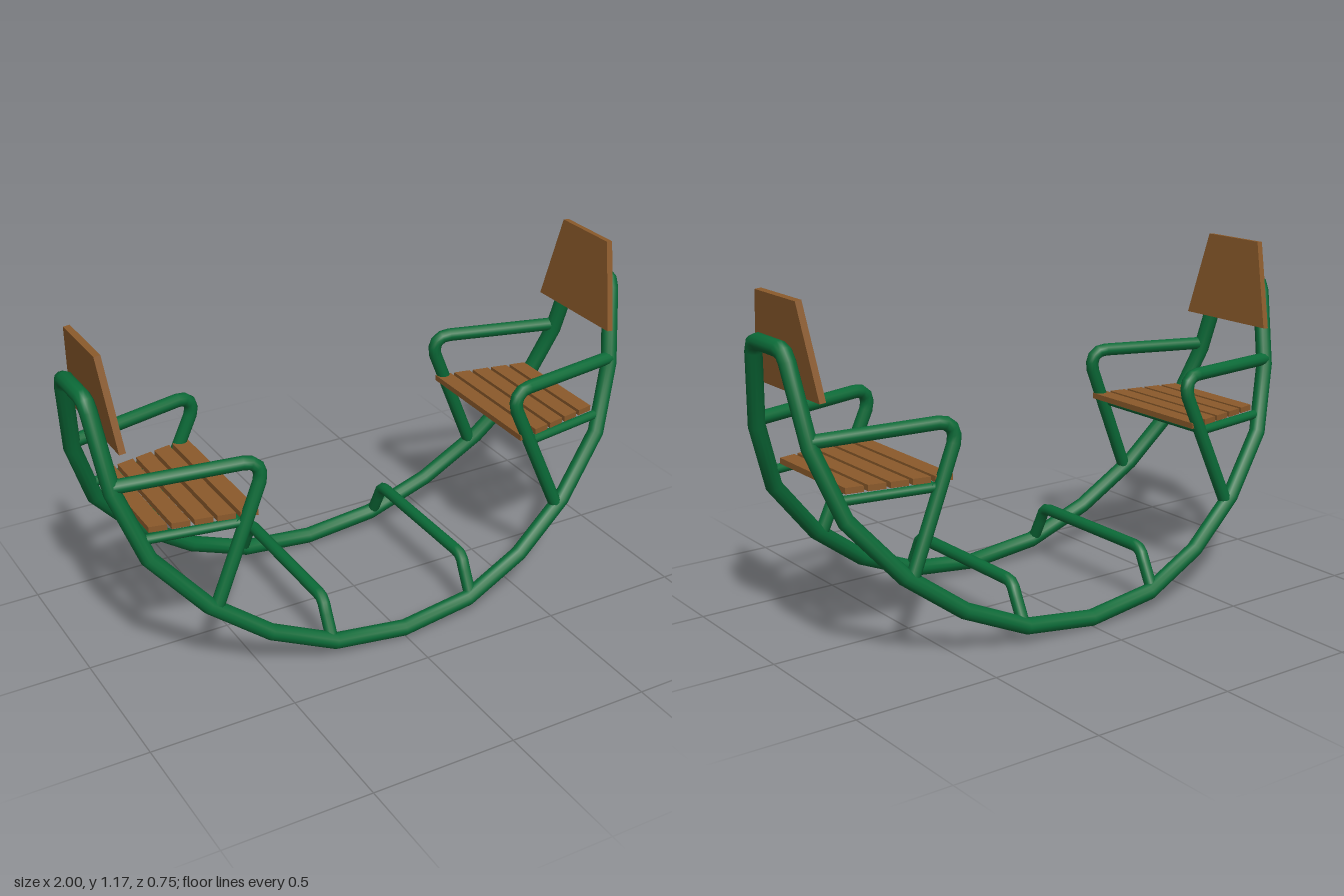
import * as THREE from 'three';

const green = new THREE.MeshStandardMaterial({ color: 0x0b6b38 });
green.name = 'green paint';
const wood = new THREE.MeshStandardMaterial({ color: 0x8b5a2b });
wood.name = 'brown wood';

// Curve with straight runs, so every tube ring falls on a given point
class Polyline extends THREE.Curve {
  constructor(points, closed) {
    super();
    this.points = points.map((p) => new THREE.Vector3(...p));
    if (closed) this.points.push(this.points[0].clone());
    this.closed = closed;
  }
  getPointAt(u, target = new THREE.Vector3()) {
    const last = this.points.length - 1;
    const i = Math.min(Math.floor(u * last + 1e-6), last - 1);
    return target.lerpVectors(this.points[i], this.points[i + 1], u * last - i);
  }
  getTangentAt(u, target = new THREE.Vector3()) {
    const p = this.points, last = p.length - 1, i = Math.round(u * last);
    const dir = (a, b) => p[b].clone().sub(p[a]).normalize();
    const end = i === 0 || i === last;
    if (end && this.closed) return target.copy(dir(last - 1, last).add(dir(0, 1)).normalize());
    if (i === 0) return target.copy(dir(0, 1));
    if (i === last) return target.copy(dir(last - 1, last));
    return target.copy(dir(i - 1, i).add(dir(i, i + 1)).normalize());
  }
}

function pipe(name, points, radius, closed = false) {
  const curve = new Polyline(points, closed);
  const mesh = new THREE.Mesh(
    new THREE.TubeGeometry(curve, curve.points.length - 1, radius, 12, closed), green);
  mesh.name = name;
  return mesh;
}

// The rails lean together as they rise
const railZ = (y) => 0.345 - 0.2525 * (y - 0.033);

function makeRails() {
  const profile = [[0.26, 0.064], [0.485, 0.162], [0.682, 0.307], [0.855, 0.507], [0.936, 0.735]];
  const quarter = [
    ...profile.map(([x, y]) => [x, y, railZ(y)]),
    [0.967, 0.99, 0.106], [0.97, 1.016, 0.092], [0.971, 1.025, 0.066],
  ];
  const flip = (sx, sz) => quarter.map(([x, y, z]) => [x * sx, y, z * sz]);
  const loop = [
    [0, 0.033, 0.345], ...flip(1, 1), ...flip(1, -1).reverse(),
    [0, 0.033, -0.345], ...flip(-1, -1), ...flip(-1, 1).reverse(),
  ];
  return pipe('rockerFrame', loop, 0.028, true);
}

// Board with straight sides that taper along its length
function board(name, halfA, halfB, length, thickness) {
  const geometry = new THREE.BoxGeometry(length, thickness, 2);
  const p = geometry.attributes.position;
  for (let i = 0; i < p.count; i++) {
    p.setZ(i, p.getZ(i) * (p.getX(i) < 0 ? halfA : halfB));
  }
  geometry.computeVertexNormals();
  const mesh = new THREE.Mesh(geometry, wood);
  mesh.name = name;
  return mesh;
}

function makeSeat() {
  const seat = new THREE.Group();
  seat.name = 'seat';

  // Armrests that bend down to the rails
  for (const s of [1, -1]) {
    seat.add(pipe('armrest', [
      [0.935, 0.755, 0.168], [0.535, 0.768, 0.247], [0.508, 0.764, 0.252],
      [0.488, 0.748, 0.256], [0.481, 0.725, 0.258], [0.485, 0.697, 0.26],
      [0.655, 0.3, 0.279],
    ].map(([x, y, z]) => [x, y, z * s]), 0.023));
    seat.add(pipe('seatSideBar', [[0.88, 0.568, 0.205 * s], [0.55, 0.568, 0.258 * s]], 0.016));
  }
  seat.add(pipe('seatCrossBar', [[0.56, 0.568, 0.268], [0.56, 0.568, -0.268]], 0.016));

  // Slats, narrower towards the back
  const half = (x) => 0.272 - 0.2 * (x - 0.497);
  for (let i = 0; i < 5; i++) {
    const x = 0.497 + i * 0.0715;
    const slat = board('seatSlat', half(x), half(x + 0.058), 0.058, 0.02);
    slat.position.set(x + 0.029, 0.595, 0);
    seat.add(slat);
  }

  // Leaning backrest
  const back = board('backrest', 0.2, 0.125, 0.3, 0.022);
  back.position.set(0.919, 1.025, 0);
  back.rotation.z = Math.PI / 2 - 0.095;
  seat.add(back);
  return seat;
}

export function createModel() {
  const model = new THREE.Group();
  model.name = 'rockingSeesaw';
  model.add(makeRails());

  // Two matching ends
  const leftSeat = makeSeat();
  const rightSeat = makeSeat();
  rightSeat.rotation.y = Math.PI;
  model.add(leftSeat, rightSeat);

  // Raised footrests between the rails
  const halfBar = [[0.07, 0.335], [0.15, 0.294], [0.183, 0.278], [0.198, 0.262], [0.202, 0.24]];
  for (const x of [0.272, -0.272]) {
    model.add(pipe('footrest', [
      ...halfBar.map(([y, z]) => [x, y, z]),
      ...halfBar.map(([y, z]) => [x, y, -z]).reverse(),
    ], 0.021));
  }
  return model;
}
